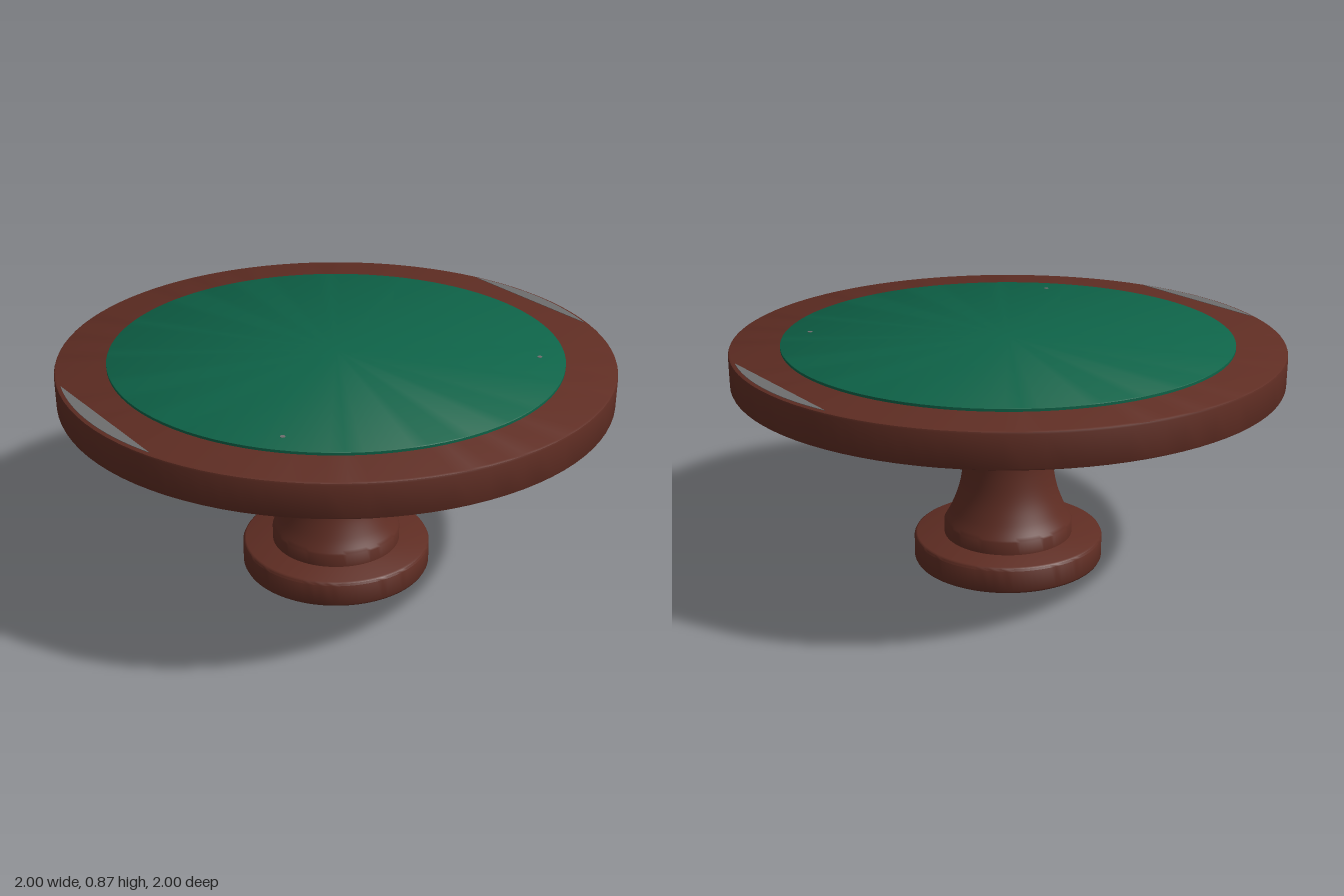
import * as THREE from 'three';
import { toCreasedNormals } from 'three/addons/utils/BufferGeometryUtils.js';

function material(name, color) {
  const m = new THREE.MeshStandardMaterial({ color });
  m.name = name;
  return m;
}

export function createModel() {
  const table = new THREE.Group();
  table.name = 'roundTable';
  const wood = material('darkWood', 0x5f2d23);
  const felt = material('greenFelt', 0x0e6348);
  const metal = material('greyMetal', 0x6e6e6e);

  const add = (name, geometry, mat) => {
    const mesh = new THREE.Mesh(geometry, mat);
    mesh.name = name;
    table.add(mesh);
    return mesh;
  };
  const turned = (name, profile, mat) => {
    const points = profile.map(([r, y]) => new THREE.Vector2(r, y));
    return add(name, toCreasedNormals(new THREE.LatheGeometry(points, 96), 0.6), mat);
  };

  // Disc foot with softened edges
  turned('foot', [
    [0, 0], [0.345, 0], [0.352, 0.004], [0.356, 0.012],
    [0.356, 0.09], [0.352, 0.098], [0.345, 0.102], [0, 0.102],
  ], wood);

  // Waisted column: plinth ring, concave shaft, then a flared capital
  const shaft = new THREE.SplineCurve([
    [0.242, 0.15], [0.215, 0.2], [0.188, 0.27], [0.173, 0.34], [0.167, 0.42], [0.172, 0.525],
  ].map(([r, y]) => new THREE.Vector2(r, y))).getPoints(24).map(p => [p.x, p.y]);
  turned('column', [[0.242, 0.1], ...shaft], wood);
  turned('capital', [
    [0.165, 0.522], [0.182, 0.522], [0.188, 0.56], [0.199, 0.605],
    [0.215, 0.64], [0.235, 0.67], [0.242, 0.685], [0.242, 0.735],
  ], wood);

  // Tabletop
  turned('tabletop', [
    [0, 0.729], [0.994, 0.729], [0.998, 0.731], [1, 0.736],
    [1, 0.845], [0.998, 0.851], [0.992, 0.854], [0, 0.854],
  ], wood);

  // Playing surface
  turned('feltSurface', [[0.818, 0.85], [0.818, 0.863], [0.815, 0.865], [0, 0.865]], felt);

  // Flat segment plates on the rim and small studs, one per side
  const radius = 0.985, chord = 0.935;
  const half = Math.acos(chord / radius);
  for (const side of [1, -1]) {
    const centre = side > 0 ? 0 : Math.PI;
    const segment = new THREE.Shape();
    segment.absarc(0, 0, radius, centre - half, centre + half, false);
    segment.closePath();
    const plate = add(side > 0 ? 'leftRimPlate' : 'rightRimPlate',
      new THREE.ExtrudeGeometry(segment, { depth: 0.002, bevelEnabled: false, curveSegments: 32 }), metal);
    plate.rotation.x = -Math.PI / 2;
    plate.position.y = 0.8535;

    const stud = add(side > 0 ? 'leftStud' : 'rightStud',
      new THREE.CylinderGeometry(0.009, 0.009, 0.002, 12), metal);
    stud.position.set(side * 0.55, 0.865, 0.475);
  }
  return table;
}
